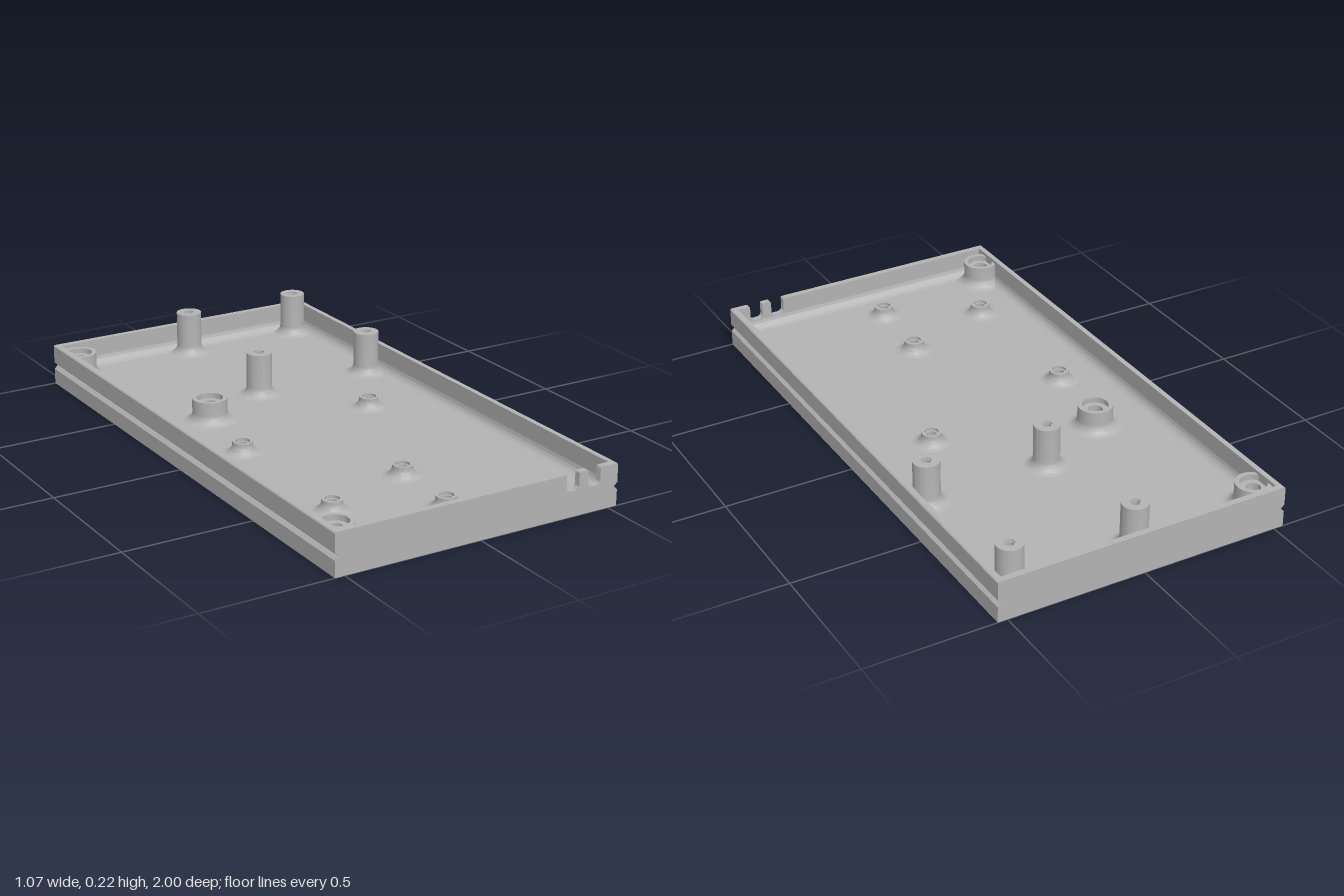
import * as THREE from 'three';
import { toCreasedNormals } from 'three/addons/utils/BufferGeometryUtils.js';

const W = 0.535, L = 1, H = 0.15;   // half width, half length, wall height
const T = 0.023, FLOOR = 0.055;     // wall and floor thickness
const R = 0.035;                    // inner fillet radius

// Standoffs: outer radius, lip radius, lip depth, bore radius, top, [x, z] places
const STANDOFFS = [
  { name: 'screwBoss', r: 0.062, lip: 0.046, depth: 0.02, bore: 0.026, top: 0.138,
    at: [[-0.473, -0.91], [-0.473, 0.9], [-0.288, -0.238]] },
  { name: 'tallPost', r: 0.046, lip: 0.018, depth: 0.005, bore: 0.014, top: 0.215,
    at: [[-0.01, -0.915], [0.445, -0.915], [-0.01, -0.376], [0.445, -0.376]] },
  { name: 'smallBoss', r: 0.035, lip: 0.025, depth: 0.01, bore: 0.018, top: 0.097,
    at: [[0.257, -0.058], [-0.341, 0.09], [0.008, 0.54], [-0.341, 0.667], [-0.016, 0.83]] },
];

function polygon(points) {
  return new THREE.Shape(points.map(([x, y]) => new THREE.Vector2(x, y)));
}

function extrude(shape, depth) {
  const g = new THREE.ExtrudeGeometry(shape, { depth, bevelEnabled: false, curveSegments: 16 });
  return toCreasedNormals(g, 0.6);
}

// Revolved standoff with a flared foot, trimmed where it runs into a wall
function standoffGeometry(s, x, z) {
  const pts = [];
  for (let i = 0; i <= 8; i++) {
    const a = (i / 8) * Math.PI / 2;
    pts.push(new THREE.Vector2(s.r + R * (1 - Math.sin(a)), FLOOR + R * (1 - Math.cos(a))));
  }
  for (const [r, y] of [[s.r, s.top], [s.lip, s.top], [s.lip, s.top - s.depth],
    [s.bore, s.top - s.depth], [s.bore, FLOOR]]) pts.push(new THREE.Vector2(r, y));
  const g = new THREE.LatheGeometry(pts, 40);
  g.translate(x, 0, z);
  const p = g.attributes.position;
  for (let i = 0; i < p.count; i++) {
    p.setX(i, THREE.MathUtils.clamp(p.getX(i), -W + 0.016, W - 0.016));
    p.setZ(i, THREE.MathUtils.clamp(p.getZ(i), -L + 0.016, L - 0.016));
  }
  return toCreasedNormals(g, 0.6);
}

export function createModel() {
  const model = new THREE.Group();
  const grey = new THREE.MeshStandardMaterial({ color: 0xb3b3b3 });
  grey.name = 'grey plastic';
  const add = (name, geometry, x = 0, y = 0, z = 0) => {
    const mesh = new THREE.Mesh(geometry, grey);
    mesh.name = name;
    mesh.position.set(x, y, z);
    model.add(mesh);
    return mesh;
  };

  // Floor with a through hole under every standoff
  const fx = W - T, fz = L;
  const plate = polygon([[-fx, -fz], [fx, -fz], [fx, fz], [-fx, fz]]);
  for (const s of STANDOFFS) for (const [x, z] of s.at) {
    plate.holes.push(new THREE.Path().absarc(x, -z, s.bore, 0, Math.PI * 2, true));
  }
  add('floor', extrude(plate, FLOOR).rotateX(-Math.PI / 2));

  // Long side walls with a V groove along the outside
  const side = polygon([[W - T, 0], [W, 0], [W, 0.057], [W - 0.013, 0.07], [W, 0.083],
    [W, H - 0.004], [W - 0.004, H], [W - T, H]]);
  const sideGeometry = extrude(side, 2 * L).translate(0, 0, -L);
  add('rightWall', sideGeometry).rotation.y = Math.PI;
  add('leftWall', sideGeometry);

  // Back wall, and front wall with two rounded cable notches
  add('backWall', new THREE.BoxGeometry(2 * fx, H, T), 0, H / 2, -L + T / 2);
  const front = new THREE.Shape();
  front.moveTo(-fx, 0);
  front.lineTo(fx, 0);
  front.lineTo(fx, H);
  const c = 0.02, lip = 0.006, low = 0.09;
  for (const x of [0.44, 0.355]) {
    const a = x + 0.025, b = x - 0.025;
    front.lineTo(a + lip, H);
    front.quadraticCurveTo(a, H, a, H - lip);
    front.lineTo(a, low + c);
    front.quadraticCurveTo(a, low, a - c, low);
    front.lineTo(b + c, low);
    front.quadraticCurveTo(b, low, b, low + c);
    front.lineTo(b, H - lip);
    front.quadraticCurveTo(b, H, b - lip, H);
  }
  front.lineTo(-fx, H);
  add('frontWall', extrude(front, T), 0, 0, L - T);

  // Concave fillets where the walls meet the floor
  const cove = new THREE.Shape();
  cove.moveTo(0, 0);
  cove.lineTo(R, 0);
  cove.absarc(R, R, R, -Math.PI / 2, -Math.PI, true);
  for (let k = 0; k < 4; k++) {
    const alongZ = k % 2 === 0;
    const half = alongZ ? L - T : W - T;
    const inset = alongZ ? W - T : L - T;
    const g = extrude(cove, 2 * half).translate(-inset, FLOOR, -half);
    add('wallFillet', g).rotation.y = k * Math.PI / 2;
  }

  // Screw bosses and posts
  for (const s of STANDOFFS) for (const [x, z] of s.at) add(s.name, standoffGeometry(s, x, z));

  return model;
}
